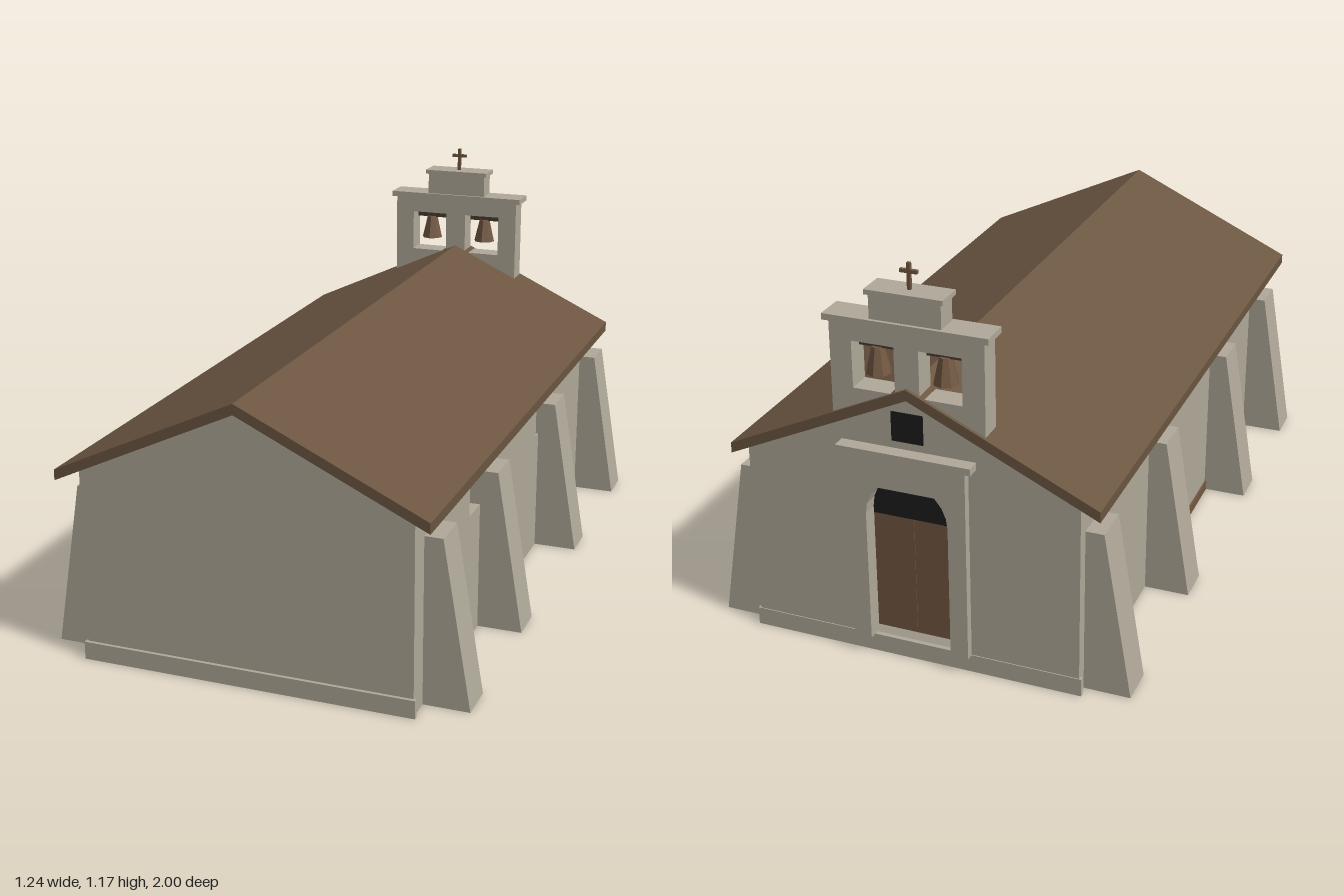
import * as THREE from 'three';

const mat = (name, color, side = THREE.FrontSide) => {
  const m = new THREE.MeshStandardMaterial({ color, side });
  m.name = name;
  return m;
};

export function createModel() {
  const stone = mat('stone', 0xb1aa9a, THREE.DoubleSide);
  const roofMat = mat('roof brown', 0x6c5641);
  const wood = mat('wood', 0x735842);
  const darkWood = mat('dark wood', 0x4a3c32);
  const black = mat('dark opening', 0x1d1d1d);
  const ceilingMat = mat('ceiling olive', 0x8c7c58, THREE.DoubleSide);

  const model = new THREE.Group();
  model.name = 'chapel';

  const add = (name, geo, material, parent = model) => {
    const mesh = new THREE.Mesh(geo, material);
    mesh.name = name;
    parent.add(mesh);
    return mesh;
  };
  // Box given by its limits on each axis
  const box = (name, material, x0, x1, y0, y1, z0, z1, parent) => {
    const geo = new THREE.BoxGeometry(x1 - x0, y1 - y0, z1 - z0);
    geo.translate((x0 + x1) / 2, (y0 + y1) / 2, (z0 + z1) / 2);
    return add(name, geo, material, parent);
  };
  const poly = (points) => new THREE.Shape(points.map(([x, y]) => new THREE.Vector2(x, y)));
  const rectHole = (x0, x1, y0, y1) =>
    new THREE.Path([[x0, y0], [x0, y1], [x1, y1], [x1, y0]].map(([x, y]) => new THREE.Vector2(x, y)));
  const extrude = (shape, z0, z1) => {
    const geo = new THREE.ExtrudeGeometry(shape, { depth: z1 - z0, bevelEnabled: false, curveSegments: 12 });
    return geo.translate(0, 0, z0);
  };
  // Wall outline with an arched doorway open at the bottom
  const archedShape = (bottom, upper) => {
    const r = 0.12, spring = 0.45;
    const arch = [];
    for (let i = 0; i <= 12; i++) {
      const a = Math.PI * (1 - i / 12);
      arch.push([r * Math.cos(a), spring + r * Math.sin(a)]);
    }
    return poly([[-r, bottom], ...arch, [r, bottom], ...upper]);
  };
  // Buttress with a sloping outer face, open underneath
  const buttressGeometry = (s, z) => {
    const geo = new THREE.BoxGeometry(1, 1, 0.116);
    const pos = geo.attributes.position;
    for (let i = 0; i < pos.count; i++) {
      const top = pos.getY(i) > 0;
      const outer = pos.getX(i) * s > 0;
      pos.setXYZ(i, s * (outer ? (top ? 0.537 : 0.619) : 0.36), top ? 0.488 : 0, z + pos.getZ(i));
    }
    const index = Array.from(geo.index.array);
    index.splice(18, 6);
    geo.setIndex(index);
    geo.clearGroups();
    geo.computeVertexNormals();
    return geo;
  };

  // Gable walls: plain one at +z, doorway one at -z
  const eave = 0.571, apex = 0.796, hw = 0.485;
  const gable = [[hw, 0], [hw, eave], [0, apex], [-hw, eave], [-hw, 0]];
  add('plainGableWall', extrude(poly(gable), 0.945, 0.96), stone);
  add('entranceGableWall', extrude(archedShape(0, gable), -0.96, -0.935), stone);

  // Plinths under the gable walls
  box('plinth', stone, -0.492, 0.492, 0, 0.053, 0.955, 0.97);
  box('entrancePlinth', stone, -0.492, 0.492, 0, 0.053, -0.963, -0.95);

  // Side walls with window niches and buttresses
  const windows = [[0.38, 0.485], [-0.335, -0.23]];
  const buttressZ = [-0.865, -0.32, 0.325, 0.828];
  for (const s of [-1, 1]) {
    const side = new THREE.Group();
    side.name = s > 0 ? 'leftSide' : 'rightSide';
    model.add(side);

    const wall = poly([[-0.96, 0], [0.96, 0], [0.96, eave], [-0.96, eave]]);
    for (const [z0, z1] of windows) wall.holes.push(rectHole(-z1, -z0, 0.385, 0.505));
    const wallGeo = extrude(wall, -0.006, 0.006).rotateY(Math.PI / 2);
    wallGeo.translate(s * 0.479, 0, 0);
    add('sideWall', wallGeo, stone, side);

    for (const [z0, z1] of windows) {
      // Reveal around the niche, closed by a dark pane
      const e = 0.008;
      const frame = poly([[-z1 - e, 0.385 - e], [-z0 + e, 0.385 - e], [-z0 + e, 0.505 + e], [-z1 - e, 0.505 + e]]);
      frame.holes.push(rectHole(-z1, -z0, 0.385, 0.505));
      const reveal = extrude(frame, -0.058, 0.058).rotateY(Math.PI / 2);
      reveal.translate(s * 0.418, 0, 0);
      add('windowReveal', reveal, stone, side);
      const x = s * 0.356;
      box('windowPane', black, x - 0.004, x + 0.004, 0.385 - e, 0.505 + e, z0 - e, z1 + e, side);
    }

    for (const z of buttressZ) add('buttress', buttressGeometry(s, z), stone, side);
  }
  // Low wooden beam along the foot of the right side
  box('footBeam', wood, -0.491, -0.468, 0, 0.03, -0.26, 0.957);

  // Roof slab and ceiling lining
  add('roof', extrude(poly([
    [-0.539, 0.545], [0, 0.797], [0.539, 0.545], [0.539, 0.576], [0, 0.828], [-0.539, 0.576],
  ]), -0.963, 1.0), roofMat);
  add('ceiling', extrude(poly([
    [-0.47, 0.568], [0, 0.789], [0.47, 0.568], [0.47, 0.574], [0, 0.795], [-0.47, 0.574],
  ]), -0.935, 0.945), ceilingMat);

  // Entrance: portal, cornice, door leaves, fanlight and gable window
  const portal = new THREE.Group();
  portal.name = 'portal';
  model.add(portal);
  add('portalSurround', extrude(archedShape(0.053, [
    [0.172, 0.053], [0.172, 0.632], [-0.172, 0.632], [-0.172, 0.053],
  ]), -0.985, -0.958), stone, portal);
  box('portalCornice', stone, -0.195, 0.195, 0.632, 0.652, -1.0, -0.95, portal);
  for (const s of [-1, 1]) {
    box('doorLeaf', wood, s < 0 ? -0.122 : 0.0005, s < 0 ? -0.0005 : 0.122, 0.07, 0.43, -0.937, -0.922, portal);
  }
  box('fanlight', black, -0.122, 0.122, 0.43, 0.507, -0.938, -0.922, portal);
  box('lunette', stone, -0.122, 0.122, 0.507, 0.575, -0.937, -0.922, portal);
  box('gableWindow', black, -0.046, 0.046, 0.674, 0.76, -0.9625, -0.956);

  // Bell gable
  const tower = new THREE.Group();
  tower.name = 'bellGable';
  model.add(tower);
  const towerShape = poly([[-0.22, 0.723], [0.22, 0.723], [0.22, 0.992], [-0.22, 0.992]]);
  towerShape.holes.push(rectHole(0.035, 0.157, 0.805, 0.94), rectHole(-0.157, -0.035, 0.805, 0.94));
  add('bellWall', extrude(towerShape, -0.953, -0.883), stone, tower);
  box('lowerCornice', stone, -0.235, 0.235, 0.992, 1.01, -0.963, -0.875, tower);
  box('upperBlock', stone, -0.102, 0.102, 1.01, 1.08, -0.953, -0.883, tower);
  box('upperCornice', stone, -0.111, 0.111, 1.08, 1.094, -0.961, -0.877, tower);

  // Bells on their headstocks
  for (const s of [-1, 1]) {
    const bell = new THREE.Group();
    bell.name = 'bell';
    bell.position.set(s * 0.097, 0, -0.918);
    tower.add(bell);
    box('headstock', darkWood, -0.051, 0.051, 0.92, 0.934, -0.008, 0.008, bell);
    const body = new THREE.CylinderGeometry(0.018, 0.036, 0.076, 8).toNonIndexed();
    body.computeVertexNormals();
    add('bellBody', body.translate(0, 0.884, 0), wood, bell);
  }

  // Cross
  box('crossPost', wood, -0.005, 0.005, 1.094, 1.168, -0.923, -0.913, tower);
  box('crossArm', wood, -0.025, 0.025, 1.139, 1.149, -0.923, -0.913, tower);

  return model;
}
